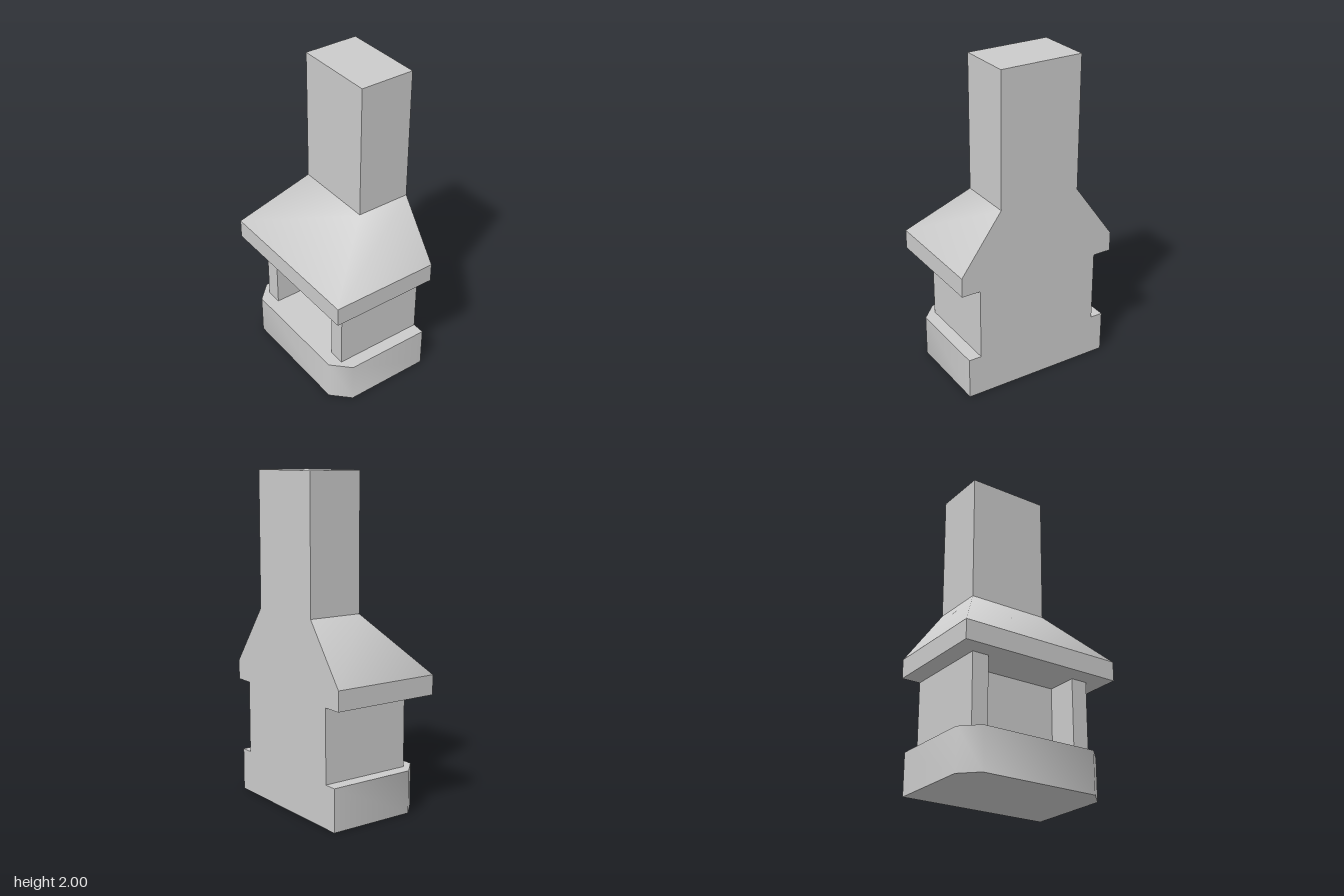
import * as THREE from 'three';
import { toCreasedNormals } from 'three/addons/utils/BufferGeometryUtils.js';

const BACK = 0.343; // plane of the flat wall side
const material = new THREE.MeshStandardMaterial({ color: 0xcccccc });

function part(name, geometry) {
  const mesh = new THREE.Mesh(geometry, material);
  mesh.name = name;
  return mesh;
}

// Box running from x0 to the wall plane, z -half..half, y0..y1
function block(x0, half, y0, y1) {
  return new THREE.BoxGeometry(BACK - x0, y1 - y0, half * 2)
    .translate((x0 + BACK) / 2, (y0 + y1) / 2, 0);
}

// Plan outline (x, z) raised from y0 to y1
function raisePlan(plan, y0, y1) {
  const shape = new THREE.Shape(plan.map(([x, z]) => new THREE.Vector2(x, -z)));
  return new THREE.ExtrudeGeometry(shape, { depth: y1 - y0, bevelEnabled: false })
    .rotateX(-Math.PI / 2).translate(0, y0, 0);
}

// Four-sided taper between two rectangles that share the wall plane
function taper(x0, half0, y0, x1, half1, y1) {
  const ring = (x, h, y) => [BACK, y, h, BACK, y, -h, x, y, -h, x, y, h];
  const index = [4, 5, 6, 4, 6, 7, 0, 2, 1, 0, 3, 2];
  for (let i = 0; i < 4; i++) {
    const j = (i + 1) % 4;
    index.push(i, j, j + 4, i, j + 4, i + 4);
  }
  const geometry = new THREE.BufferGeometry();
  geometry.setAttribute('position', new THREE.Float32BufferAttribute(
    [...ring(x0, half0, y0), ...ring(x1, half1, y1)], 3));
  geometry.setIndex(index);
  return geometry;
}

export function createModel() {
  const group = new THREE.Group();
  group.name = 'fireplace';

  // Hearth with two softened corners
  const hearth = raisePlan([
    [BACK, 0.48], [BACK, -0.48], [-0.2, -0.48],
    [-0.305, -0.375], [-0.305, 0.375], [-0.2, 0.48],
  ], 0, 0.26);
  group.add(part('hearth', toCreasedNormals(hearth, Math.PI * 0.3)));

  // Firebox: U-shaped plan, open towards -x
  group.add(part('firebox', raisePlan([
    [BACK, 0.4], [BACK, -0.4], [-0.228, -0.4], [-0.228, -0.295],
    [-0.03, -0.295], [-0.03, 0.295], [-0.228, 0.295], [-0.228, 0.4],
  ], 0.26, 0.705)));

  // Mantel slab, sloping hood with soft hips, and chimney
  group.add(part('mantel', block(-BACK, 0.518, 0.705, 0.825)));
  const hood = taper(-BACK, 0.518, 0.825, 0, 0.258, 1.183);
  group.add(part('hood', toCreasedNormals(hood, Math.PI * 0.4)));
  group.add(part('chimney', block(0, 0.258, 1.183, 2)));

  return group;
}
